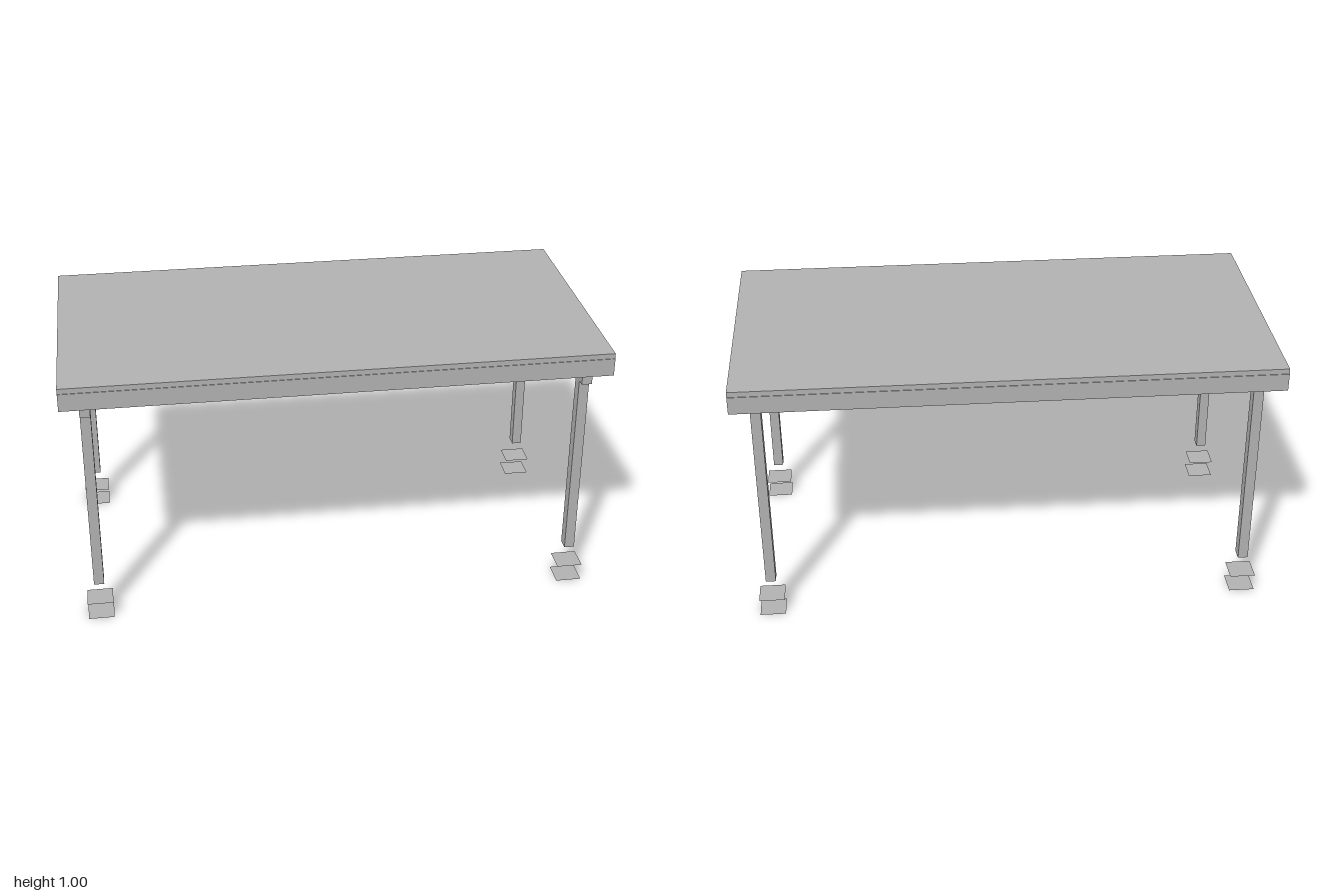
import * as THREE from 'three';

export function createModel() {
  const table = new THREE.Group();
  table.name = 'table';
  const grey = new THREE.MeshStandardMaterial({ color: 0xb2b2b2 });
  grey.name = 'plain grey';
  grey.side = THREE.DoubleSide;

  const add = (name, geometry, x, y, z, parent = table) => {
    const mesh = new THREE.Mesh(geometry, grey);
    mesh.name = name;
    mesh.position.set(x, y, z);
    parent.add(mesh);
    return mesh;
  };
  // Box given by its size, bottom height and centre
  const box = (name, w, h, d, x, bottom, z, parent) =>
    add(name, new THREE.BoxGeometry(w, h, d), x, bottom + h / 2, z, parent);
  // Flat horizontal square without thickness
  const square = (name, size, x, y, z, parent) =>
    add(name, new THREE.PlaneGeometry(size, size).rotateX(-Math.PI / 2), x, y, z, parent);

  // Table top over a hollow rim
  box('tableTop', 2, 0.02, 0.995, 0, 0.98, 0);
  const rim = 0.045, rimBottom = 0.913, rimHeight = 0.067;
  for (const s of [-1, 1]) {
    box('longApron', 2, rimHeight, rim, 0, rimBottom, s * (0.5 - rim / 2));
    box('endApron', rim, rimHeight, 1 - 2 * rim, s * (1 - rim / 2), rimBottom, 0);
  }

  // Cross beams under the top
  for (const x of [-0.5, 0, 0.5]) box('crossBeam', 0.02, 0.035, 0.91, x, 0.945, 0);

  // Legs with their corner fittings and floor plates
  for (const sx of [-1, 1]) for (const sz of [-1, 1]) {
    const corner = new THREE.Group();
    corner.name = 'legAssembly';
    table.add(corner);
    const x = sx * 0.911, z = sz * 0.416;
    box('leg', 0.038, 0.776, 0.046, x, 0.137, z, corner);
    box('legCap', 0.048, 0.012, 0.06, x, 0.901, z, corner);
    box('legBracket', 0.038, 0.045, 0.066, x, 0.868, z + 0.022, corner);
    square('upperFloorPlate', 0.097, x, 0.066, z, corner);
    square('lowerFloorPlate', 0.097, x, 0, z, corner);
    square('mountingPlate', 0.1, sx * 0.845, 0.968, sz * 0.35, corner);

    // Triangular gusset closing the corner of the rim
    const reach = 0.22;
    const shape = new THREE.Shape([
      new THREE.Vector2(sx * 0.99, sz * 0.49),
      new THREE.Vector2(sx * (1 - reach), sz * 0.49),
      new THREE.Vector2(sx * 0.99, sz * (0.5 - reach)),
    ]);
    const gusset = new THREE.ExtrudeGeometry(shape, { depth: 0.008, bevelEnabled: false });
    add('cornerGusset', gusset.rotateX(Math.PI / 2), 0, rimBottom + 0.009, 0, corner);
  }
  return table;
}
